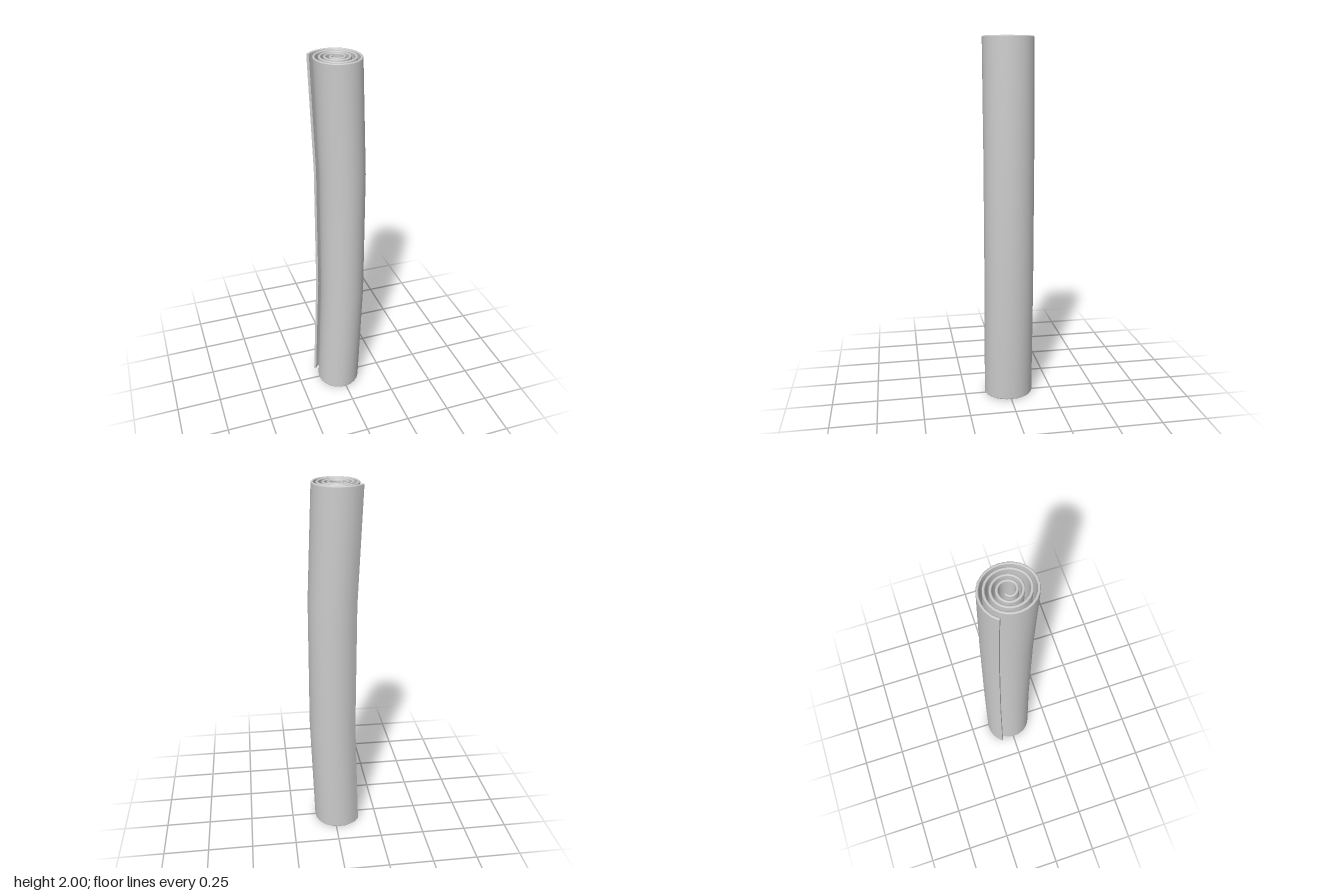
import * as THREE from 'three';

// Spiral radius at each quarter turn, from the loose outer flap to the core
const RADII = [0.15, 0.134, 0.118, 0.129, 0.113, 0.107, 0.094, 0.1, 0.086, 0.079,
  0.065, 0.0625, 0.061, 0.052, 0.039, 0.0375, 0.034, 0.017];
const radiusCurve = new THREE.CatmullRomCurve3(
  RADII.map((r, i) => new THREE.Vector3(i, r, 0)), false, 'catmullrom');
const U_START = 0.36, U_END = 16.5, STEPS = 100;
const HALF_THICKNESS = 0.0065, CENTRE_X = -0.012;
const BEND_LOW = 0.65, BEND_HIGH = 1.38, BEND = 0.025;

// Point of the spiral's centre line, as (x, z); u counts quarter turns
function spiral(u) {
  const a = Math.PI + u * Math.PI / 2;
  const r = radiusCurve.getPoint(u / (RADII.length - 1)).y;
  return new THREE.Vector2(Math.cos(a) * r, Math.sin(a) * r);
}

// The roll bows sideways through its middle
function bow(y) {
  return BEND * Math.min(1, y / BEND_LOW, (2 - y) / (2 - BEND_HIGH));
}

// Sheet section: outer face going up with rounded rims, then the inner face going down
const outer = [[0.35, 0], [0.8, 0.002], [1, 0.006], [1, BEND_LOW],
  [1, BEND_HIGH], [1, 1.994], [0.8, 1.998], [0.35, 2]];
const section = [...outer, ...outer.map(([s, y]) => [-s, y]).reverse()];

function rolledSheet() {
  const n = section.length, pos = [], idx = [];
  const addSection = (u) => {
    const p = spiral(u);
    const t = spiral(u + 0.01).sub(spiral(u - 0.01)).normalize();
    for (const [s, y] of section) {
      const d = s * HALF_THICKNESS;
      pos.push(CENTRE_X + p.x + t.y * d + bow(y), y, p.y - t.x * d);
    }
  };
  for (let i = 0; i <= STEPS; i++) addSection(U_START + (U_END - U_START) * i / STEPS);

  // Walls and rims
  for (let i = 0; i < STEPS; i++) {
    for (let j = 0; j < n; j++) {
      const k = (j + 1) % n, a = i * n + j, b = i * n + k;
      idx.push(a, b, a + n, b, b + n, a + n);
    }
  }
  // Flat caps on the outer flap and the inner end, with their own vertices
  for (const [u, flip] of [[U_START, true], [U_END, false]]) {
    const base = pos.length / 3;
    addSection(u);
    for (let j = 0; j < n / 2 - 1; j++) {
      const a = base + j, b = a + 1, d = base + n - 1 - j, c = d - 1;
      if (flip) idx.push(a, c, b, a, d, c);
      else idx.push(a, b, c, a, c, d);
    }
  }
  const geo = new THREE.BufferGeometry();
  geo.setAttribute('position', new THREE.Float32BufferAttribute(pos, 3));
  geo.setIndex(idx);
  geo.computeVertexNormals();
  return geo;
}

export function createModel() {
  const group = new THREE.Group();
  group.name = 'rolledMat';
  const sheet = new THREE.Mesh(rolledSheet(), new THREE.MeshStandardMaterial({ color: 0xcccccc }));
  sheet.name = 'rolledSheet';
  group.add(sheet);
  return group;
}
